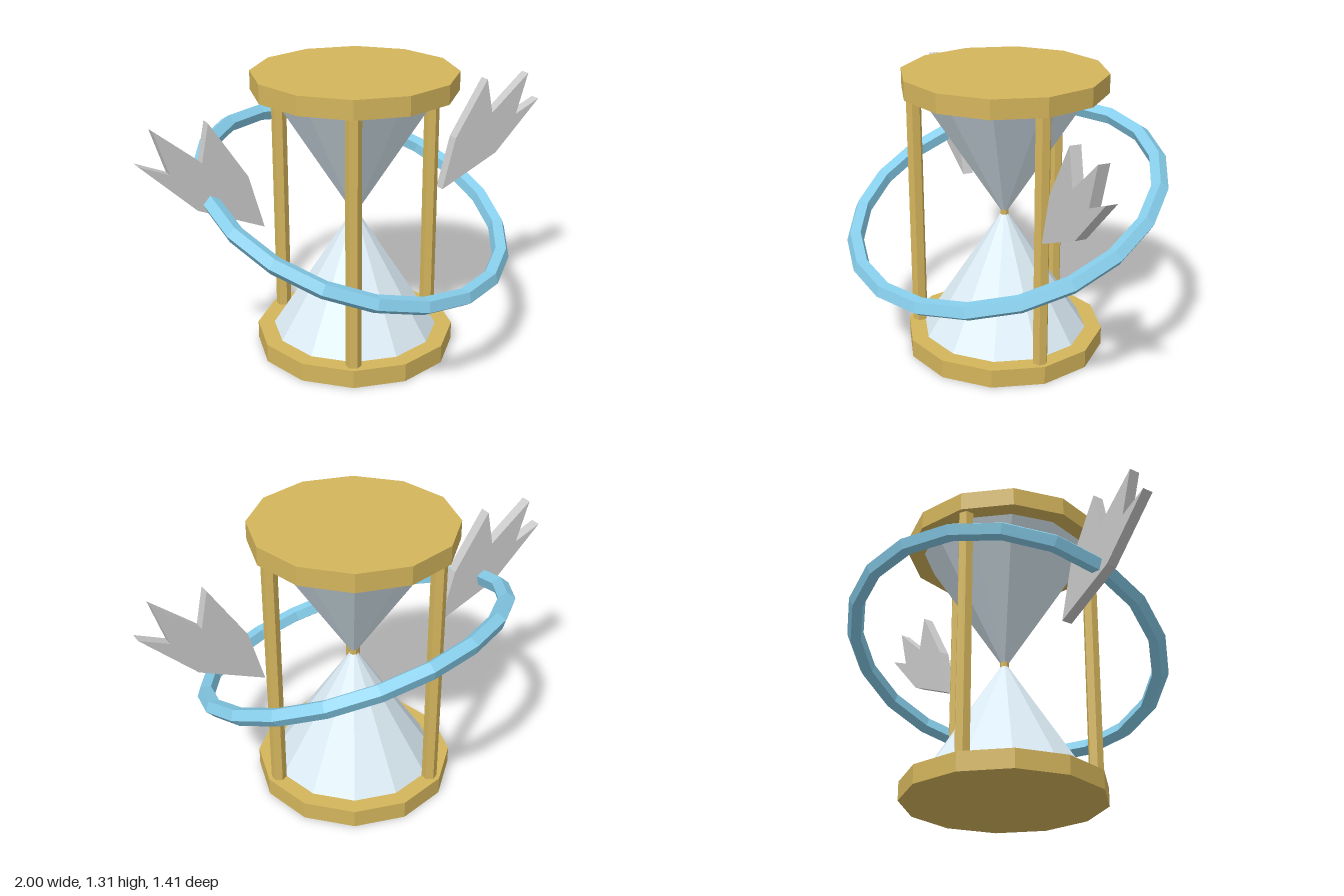
import * as THREE from 'three';

const mat = (color) => new THREE.MeshStandardMaterial({ color, flatShading: true });

export function createModel() {
  const model = new THREE.Group();
  const gold = mat(0xd4b55c), glass = mat(0xdcecf5), blue = mat(0x87ceeb), grey = mat(0xcccccc);

  const add = (name, geometry, material, x = 0, y = 0, z = 0) => {
    const mesh = new THREE.Mesh(geometry, material);
    mesh.name = name;
    mesh.position.set(x, y, z);
    model.add(mesh);
    return mesh;
  };

  const height = 1.307, plate = 0.085, mid = height / 2;
  const bulbHeight = mid - plate;

  // End plates
  const plateGeo = new THREE.CylinderGeometry(0.457, 0.457, plate, 12);
  add('bottomPlate', plateGeo, gold, 0, plate / 2, 0);
  add('topPlate', plateGeo, gold, 0, height - plate / 2, 0);

  // Two glass bulbs meeting at a narrow neck
  add('lowerBulb', new THREE.CylinderGeometry(0.012, 0.38, bulbHeight, 12), glass, 0, plate + bulbHeight / 2, 0);
  add('upperBulb', new THREE.CylinderGeometry(0.38, 0.012, bulbHeight, 12), glass, 0, mid + bulbHeight / 2, 0);
  add('neck', new THREE.CylinderGeometry(0.02, 0.02, 0.03, 8), gold, 0, mid, 0);

  // Three hexagonal posts
  const postGeo = new THREE.CylinderGeometry(0.035, 0.035, height - 2 * plate, 6);
  for (let i = 0; i < 3; i++) {
    const a = (i * Math.PI * 2) / 3;
    add('post' + (i + 1), postGeo, gold, 0.405 * Math.cos(a), mid, 0.405 * Math.sin(a));
  }

  // Tilted orbiting ring
  const ring = add('ring', new THREE.TorusGeometry(0.708, 0.04, 5, 20), blue, 0, 0.714, 0);
  ring.rotation.set(THREE.MathUtils.degToRad(110), 0, THREE.MathUtils.degToRad(-10), 'ZXY');

  // Flat jagged wings, mirrored left and right
  const outline = [
    [0.46, 0.68], [0.76, 0.813], [1, 1.048], [0.87, 0.99],
    [0.93, 1.182], [0.73, 1.016], [0.695, 1.182], [0.527, 0.922],
  ];
  for (const [name, s] of [['leftWing', 1], ['rightWing', -1]]) {
    const shape = new THREE.Shape(outline.map(([x, y]) => new THREE.Vector2(s * x, y)));
    const geo = new THREE.ExtrudeGeometry(shape, { depth: 0.05, bevelEnabled: false });
    add(name, geo, grey, 0, 0, -0.025);
  }

  return model;
}
